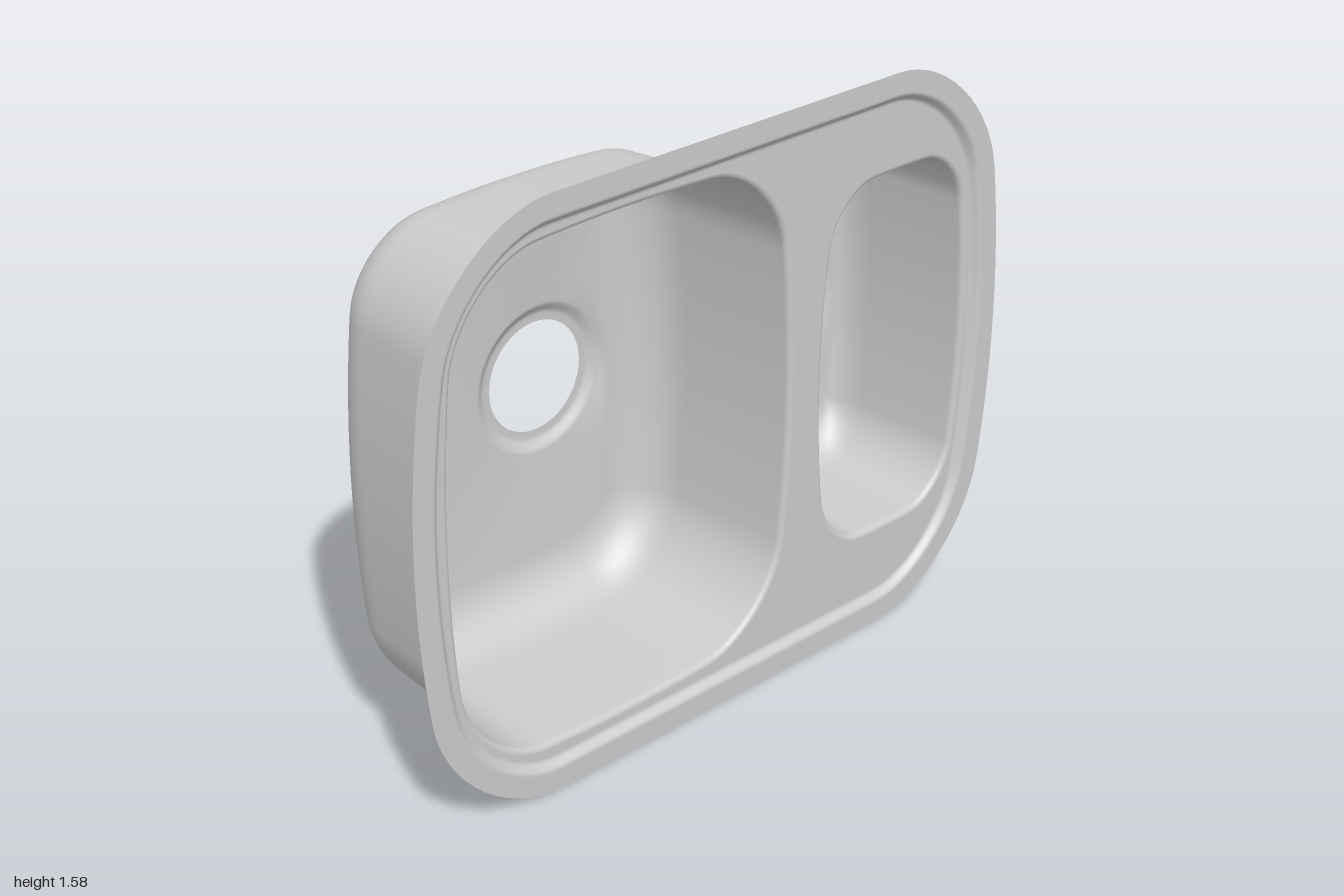
import * as THREE from 'three';

const SIDE = 14, CORNER = 14; // segments along each side and each corner
const FLANGE_Z = 0.277, DECK_Z = 0.257;

const material = new THREE.MeshStandardMaterial({ color: 0xcccccc, side: THREE.DoubleSide });

// Counter-clockwise rounded rectangle whose sides bulge outwards (bx, by), inset by ix, iy
function outline({ cx, cy, w, h, r, bx, by }, ix = 0, iy = ix) {
  const hw = w - ix, hh = h - iy;
  const rx = Math.max(r - ix, 0.05), ry = Math.max(r - iy, 0.05);
  const signs = [[1, 1], [-1, 1], [-1, -1], [1, -1]];
  const raw = [];
  signs.forEach(([sx, sy], q) => {
    for (let i = 0; i <= CORNER; i++) {
      const a = (q + i / CORNER) * Math.PI / 2;
      raw.push([sx * (hw - rx) + rx * Math.cos(a), sy * (hh - ry) + ry * Math.sin(a)]);
    }
    // straight run to the start of the next corner
    const [nx, ny] = signs[(q + 1) % 4], a = (q + 1) * Math.PI / 2;
    const end = [nx * (hw - rx) + rx * Math.cos(a), ny * (hh - ry) + ry * Math.sin(a)];
    const start = raw[raw.length - 1];
    for (let i = 1; i < SIDE; i++) {
      const t = i / SIDE;
      raw.push([start[0] + (end[0] - start[0]) * t, start[1] + (end[1] - start[1]) * t]);
    }
  });
  return raw.map(([x, y]) => new THREE.Vector2(
    cx + x * (1 - bx * (y / hh) ** 2),
    cy + y * (1 - by * (x / hw) ** 2)));
}

// Skin a list of { pts, z } rings running from the outside inwards
function loft(rings) {
  const n = rings[0].pts.length, pos = [], idx = [];
  rings.forEach(({ pts, z }) => pts.forEach(p => pos.push(p.x, p.y, z)));
  for (let k = 0; k < rings.length - 1; k++) {
    for (let i = 0; i < n; i++) {
      const j = (i + 1) % n;
      const a = k * n + i, b = k * n + j, c = a + n, d = b + n;
      idx.push(a, b, d, a, d, c);
    }
  }
  const g = new THREE.BufferGeometry();
  g.setAttribute('position', new THREE.Float32BufferAttribute(pos, 3));
  g.setIndex(idx);
  g.computeVertexNormals();
  return g;
}

function addMesh(parent, name, geometry) {
  const mesh = new THREE.Mesh(geometry, material);
  mesh.name = name;
  parent.add(mesh);
}

const RIM = { cx: 0, cy: 0.79, w: 1, h: 0.79, r: 0.36, bx: 0.11, by: 0 };
const LIP = -0.014; // how far the rolled lip spreads onto the deck

const BOWLS = [
  { name: 'largeBowl', cx: -0.3275, cy: 0.795, w: 0.5525, h: 0.672, r: 0.25, bx: 0.1, by: 0.04,
    taper: 0.024, wallZ: -0.09, floorZ: -0.24, fx: 0.14, fy: 0.16,
    drain: { x: -0.162, y: 0.795, r: 0.21, z: -0.258, drop: 0.019 } },
  { name: 'smallBowl', cx: 0.615, cy: 0.795, w: 0.27, h: 0.51, r: 0.15, bx: 0.16, by: 0.02,
    taper: 0.018, wallZ: -0.035, floorZ: -0.147, fx: 0.046, fy: 0.13,
    drain: { x: 0.612, y: 0.795, r: 0.2, z: -0.158, drop: 0.015 } },
];

function bowlGeometry(b) {
  const rings = [];
  const add = (ix, iy, z) => rings.push({ pts: outline(b, ix, iy), z });
  // rolled lip
  for (let i = 0; i <= 4; i++) {
    const a = i / 4 * Math.PI / 2;
    const inset = LIP * (1 - Math.sin(a));
    add(inset, inset, DECK_Z - 0.016 * (1 - Math.cos(a)));
  }
  // tapering wall
  for (let i = 1; i <= 4; i++) {
    const t = i / 4, z = DECK_Z - 0.016;
    add(b.taper * t, b.taper * t, z + (b.wallZ - z) * t);
  }
  // rounded foot of the wall
  for (let i = 1; i <= 10; i++) {
    const a = i / 10 * Math.PI / 2, s = 1 - Math.cos(a);
    add(b.taper + b.fx * s, b.taper + b.fy * s, b.wallZ + (b.floorZ - b.wallZ) * Math.sin(a));
  }
  // floor falling gently towards the drain
  const edge = rings[rings.length - 1].pts, d = b.drain;
  const centre = new THREE.Vector2(d.x, d.y);
  const circle = r => edge.map(p => p.clone().sub(centre).setLength(r).add(centre));
  const drainEdge = circle(d.r);
  for (let i = 1; i <= 5; i++) {
    const t = i / 5;
    rings.push({ pts: edge.map((p, k) => p.clone().lerp(drainEdge[k], t)), z: b.floorZ + (d.z - b.floorZ) * t });
  }
  // recessed drain seat around the open hole
  const hole = 0.153, seat = 0.172;
  for (let i = 1; i <= 6; i++) {
    const t = i / 6;
    rings.push({ pts: circle(d.r + (seat - d.r) * t), z: d.z - d.drop * t * t * (3 - 2 * t) });
  }
  rings.push({ pts: circle(hole), z: d.z - d.drop });
  return loft(rings);
}

export function createModel() {
  const sink = new THREE.Group();
  sink.name = 'doubleBowlSink';

  // flat outer flange, then a soft step down to the deck
  const rimRings = [{ pts: outline(RIM), z: FLANGE_Z }, { pts: outline(RIM, 0.055), z: FLANGE_Z }];
  for (let i = 0; i <= 6; i++) {
    const t = i / 6;
    rimRings.push({ pts: outline(RIM, 0.06 + 0.025 * t), z: FLANGE_Z - (FLANGE_Z - DECK_Z) * t * t * (3 - 2 * t) });
  }
  rimRings.push({ pts: outline(RIM, 0.09), z: DECK_Z });
  addMesh(sink, 'rim', loft(rimRings));

  // deck with one opening per bowl
  const deck = new THREE.Shape(outline(RIM, 0.09));
  BOWLS.forEach(b => deck.holes.push(new THREE.Path(outline(b, LIP))));
  addMesh(sink, 'deck', new THREE.ShapeGeometry(deck).translate(0, 0, DECK_Z));

  BOWLS.forEach(b => addMesh(sink, b.name, bowlGeometry(b)));
  return sink;
}
